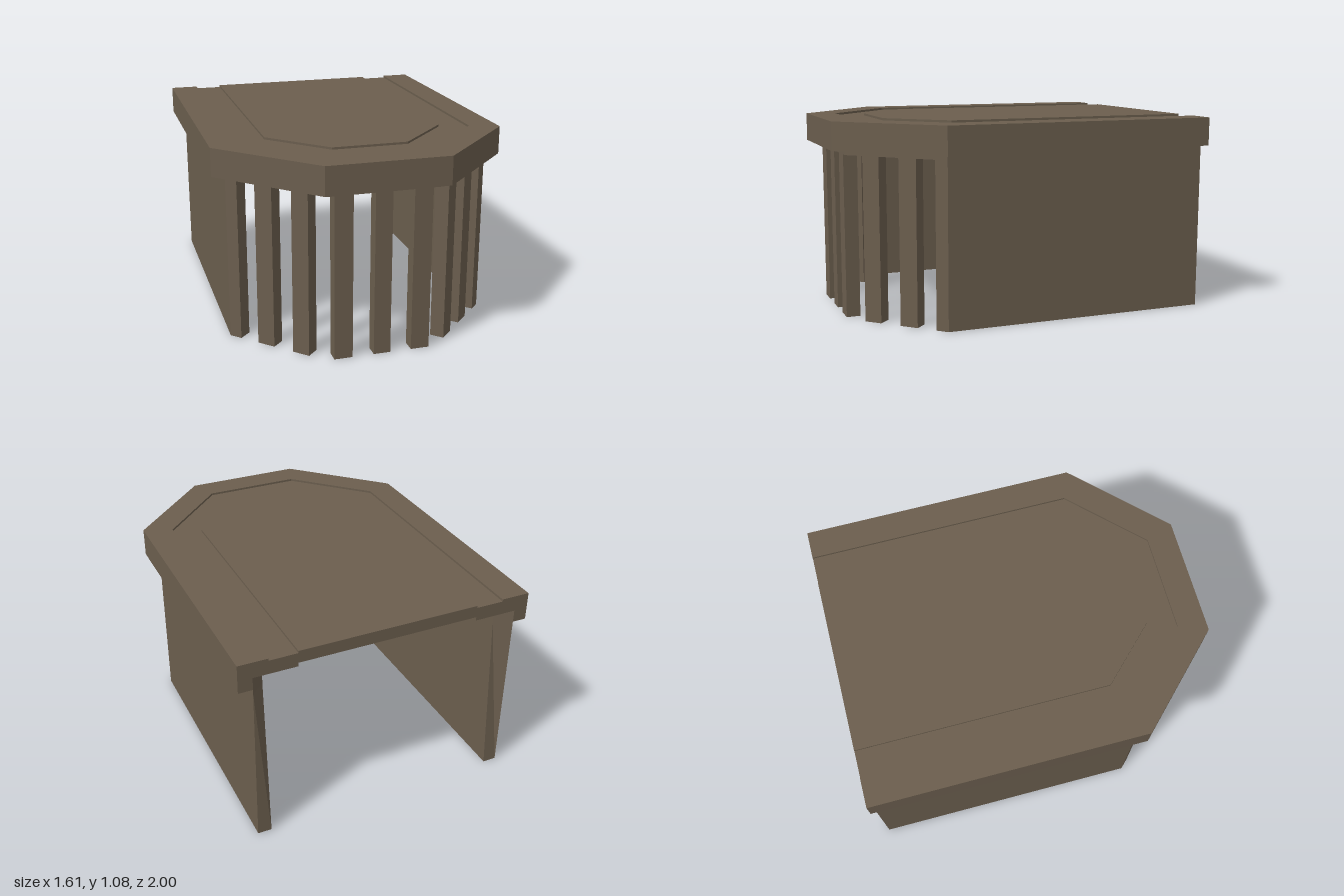
import * as THREE from 'three';

// Half plans as [x, z], running from the back edge round to the front.
const RIM = [[0.806, -1], [0.805, 0.52], [0.33, 0.997]];
const SHELL = [[0.73, -1], [0.73, 0.495], [0.303, 0.922]];
const INNER = [[0.655, -1], [0.655, 0.464], [0.272, 0.846]];
const GROOVE = [[0.648, -1], [0.648, 0.46], [0.27, 0.84]];
const PANEL = [[0.495, -1], [0.495, 0.39], [0.205, 0.685]];
const TOP = 1.077, GROOVE_TOP = 1.065, SHELL_TOP = 0.99, LINTEL = 0.895;

const mirror = (half) => [...half, ...half.map(([x, z]) => [-x, z]).reverse()];
const band = (outer, inner) => [...mirror(outer), ...mirror(inner).reverse()];

// Extrude a plan outline upward from y0 to y1.
function prism(points, y0, y1) {
  const shape = new THREE.Shape(points.map(([x, z]) => new THREE.Vector2(x, -z)));
  const geo = new THREE.ExtrudeGeometry(shape, { depth: y1 - y0, bevelEnabled: false });
  geo.rotateX(-Math.PI / 2);
  return geo.translate(0, y0, 0);
}

// Lean the inner back edge of a wall forward toward its top.
function leanBackEdge(geo) {
  const p = geo.attributes.position;
  for (let i = 0; i < p.count; i++) {
    if (p.getY(i) > 0.5 && Math.abs(p.getX(i)) < 0.7 && p.getZ(i) < -0.9) p.setZ(i, -0.93);
  }
  geo.computeVertexNormals();
  return geo;
}

export function createModel() {
  const group = new THREE.Group();
  const brown = new THREE.MeshStandardMaterial({ color: 0x6b5e4e });
  brown.name = 'weathered brown';
  const add = (name, geo) => {
    const mesh = new THREE.Mesh(geo, brown);
    mesh.name = name;
    group.add(mesh);
  };

  // Roof: raised rim, shallow groove and a thin raised middle panel
  add('roofRim', prism(band(RIM, GROOVE), SHELL_TOP, TOP));
  add('roofRimSkirt', prism(band(RIM, SHELL), 0.922, SHELL_TOP));
  add('roofGroove', prism(band(GROOVE, PANEL), SHELL_TOP, GROOVE_TOP));
  add('roofPanel', prism(mirror(PANEL), 1.01, TOP));

  // Lintel above the bars
  add('lintel', prism(band(SHELL.slice(1), INNER.slice(1)), LINTEL, SHELL_TOP));

  for (const s of [1, -1]) {
    const side = s > 0 ? 'left' : 'right';

    // Side wall with its angled front end
    const plan = [[0.73, -1], [0.73, 0.495], [0.68, 0.545], [0.625, 0.49], [0.655, 0.464], [0.655, -1]];
    const wall = prism(plan.map(([x, z]) => [s * x, z]), 0, LINTEL);
    add(side + 'Wall', leanBackEdge(wall));

    // Wall head between the lintel line and the roof
    const head = [[0.73, -1], [0.73, 0.495], [0.655, 0.464], [0.655, -0.93]];
    add(side + 'WallHead', prism(head.map(([x, z]) => [s * x, z]), LINTEL, SHELL_TOP));

    // Bars along the angled side
    for (const [a, b] of [[0.602, 0.53], [0.447, 0.378]]) {
      const d = 0.055, line = 1.225;
      const bar = [[a, line - a], [b, line - b], [b - d, line - b - d], [a - d, line - a - d]];
      add(side + 'AngledBar', prism(bar.map(([x, z]) => [s * x, z]), 0, LINTEL));
    }
  }

  // Bars across the front
  for (const [a, b] of [[-0.262, -0.162], [-0.046, 0.046], [0.162, 0.262]]) {
    add('frontBar', prism([[a, 0.846], [b, 0.846], [b, 0.922], [a, 0.922]], 0, LINTEL));
  }
  return group;
}
